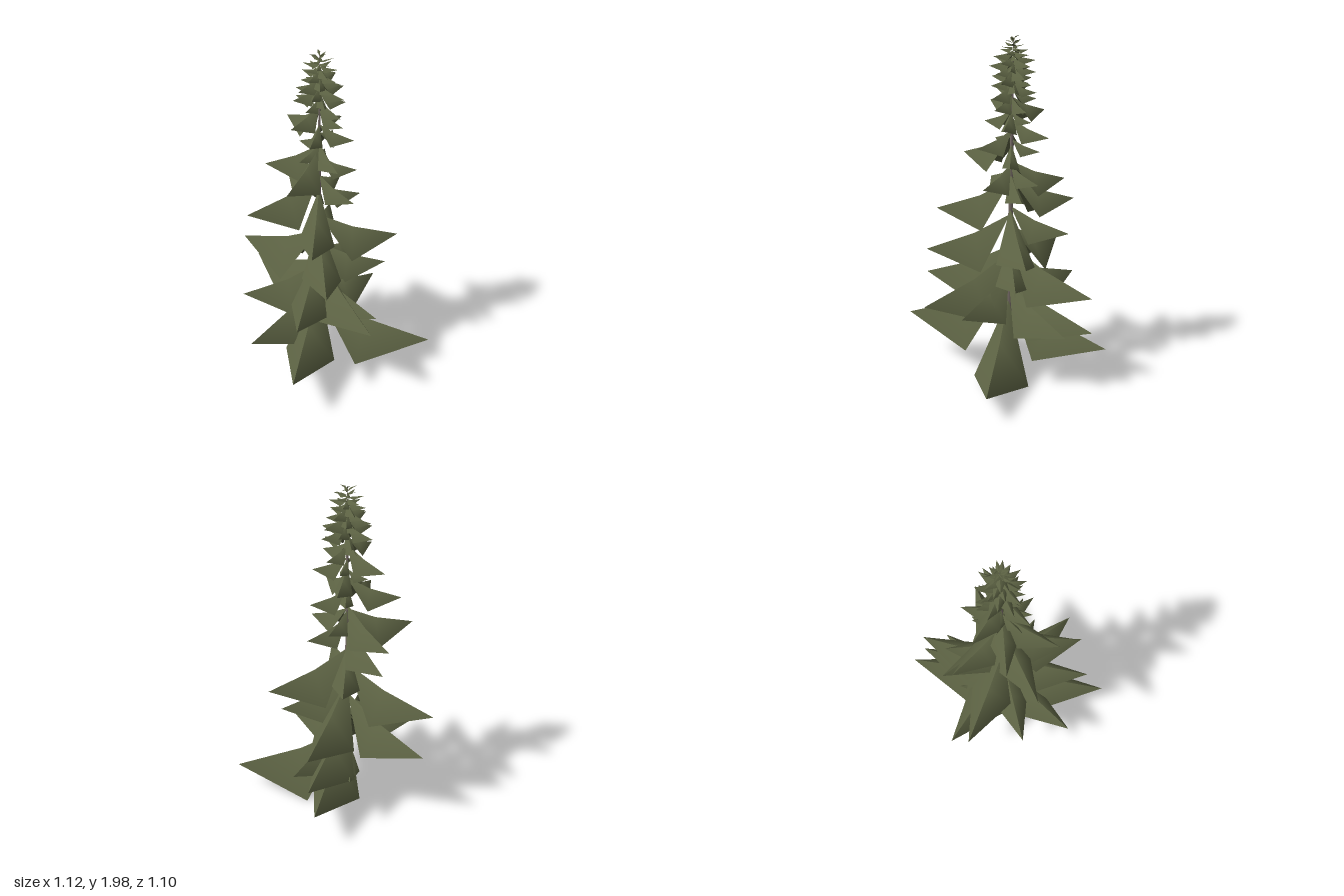
import * as THREE from 'three';

const needles = new THREE.MeshStandardMaterial({ color: 0x5c6243, side: THREE.DoubleSide });
needles.name = 'needleGreen';
const bark = new THREE.MeshStandardMaterial({ color: 0x7b6f6b });
bark.name = 'barkBrown';

// Trunk centre line leans very slightly
const trunkX = (y) => -0.024 + 0.014 * y;
const trunkZ = (y) => -0.008 * y;

// A folded, drooping bough along +z: two wings that meet along a sagging ridge
function boughGeometry(len, drop) {
  const ridge = [[0, 0, 0], [0, -drop * 0.54, 0.42], [0, -drop, 1]];
  const left = [0.235, -drop - 0.225, 0.36];
  const right = [-0.235, -drop - 0.16, 0.36];
  const pts = [...ridge, left, ...ridge, right].flat().map((v) => v * len);
  const g = new THREE.BufferGeometry();
  g.setAttribute('position', new THREE.Float32BufferAttribute(pts, 3));
  g.setIndex([0, 1, 3, 1, 2, 3, 4, 7, 5, 5, 7, 6]);
  g.computeVertexNormals();
  // Soften the ridge near the trunk; it stays creased at the tip
  for (const i of [0, 1]) {
    g.attributes.normal.setXYZ(i, 0.35, 0.937, 0);
    g.attributes.normal.setXYZ(i + 4, -0.35, 0.937, 0);
  }
  return g;
}

// Place a bough so that its tip lands on the given point
function bough(x, y, z, drop = 0.42) {
  const dx = x - trunkX(y), dz = z - trunkZ(y);
  const len = Math.hypot(dx, dz);
  const m = new THREE.Mesh(boughGeometry(len, drop), needles);
  m.position.set(trunkX(y), y + drop * len, trunkZ(y));
  m.rotation.y = Math.atan2(dx, dz);
  m.name = 'bough';
  return m;
}

// Tips of the large boughs: x, y, z
const lowTips = [
  [0.385, 0.16, 0.545], [0.2, 0.26, -0.19], [0.56, 0.25, -0.215], [-0.56, 0.285, 0.325],
  [-0.54, 0.35, -0.04], [0.46, 0.36, 0.02], [0.52, 0.36, -0.14], [0.035, 0.455, 0.41],
  [-0.365, 0.48, -0.295], [-0.012, 0.475, -0.55], [-0.15, 0.51, 0.53], [0.515, 0.57, -0.135],
  [-0.46, 0.565, 0.26], [0.295, 0.65, 0.245], [-0.135, 0.68, -0.53],
];
const midTips = [
  [-0.33, 0.77, 0.36], [0.385, 0.81, 0.255], [0.275, 0.88, -0.195], [-0.345, 0.995, 0.265],
  [0.148, 1.03, -0.37], [-0.385, 1.09, -0.2], [0.205, 1.11, 0.11], [0.08, 1.14, -0.36],
  [0.02, 1.17, 0.23], [0.19, 1.18, -0.03], [-0.33, 1.3, 0.065], [0.14, 1.3, 0.14],
  [-0.2, 1.33, -0.24], [0.13, 1.35, -0.1], [-0.07, 1.38, 0.19], [-0.15, 1.4, -0.02],
  [0.2, 1.44, -0.1],
];
const highTips = [
  [-0.05, 1.46, -0.12], [0.1, 1.5, 0.15], [-0.15, 1.51, 0.06], [0.11, 1.52, -0.05], [0, 1.55, -0.265],
  [0.14, 1.59, 0.02], [-0.2, 1.61, -0.03], [0.02, 1.6, 0.14], [0.07, 1.64, -0.13],
];

function addCrown(name, tips) {
  const g = new THREE.Group();
  g.name = name;
  for (const t of tips) g.add(bough(...t));
  return g;
}

export function createModel() {
  const tree = new THREE.Group();
  tree.name = 'conifer';

  // Trunk with a flared foot
  const profile = [[0, 0.025], [0.03, 0.025], [0.026, 0.08], [0.018, 0.18], [0.015, 0.8], [0.009, 1.4], [0.001, 1.97]];
  const trunkGeo = new THREE.LatheGeometry(profile.map(([r, y]) => new THREE.Vector2(r, y)), 8);
  const p = trunkGeo.attributes.position;
  for (let i = 0; i < p.count; i++) {
    const y = p.getY(i);
    p.setXYZ(i, p.getX(i) + trunkX(y), y, p.getZ(i) + trunkZ(y));
  }
  trunkGeo.computeVertexNormals();
  const trunk = new THREE.Mesh(trunkGeo, bark);
  trunk.name = 'trunk';
  tree.add(trunk);

  tree.add(addCrown('lowerBoughs', lowTips), addCrown('middleBoughs', midTips), addCrown('upperBoughs', highTips));

  // Spiral of small boughs that shorten and lift toward the top
  const top = new THREE.Group();
  top.name = 'topBoughs';
  const n = 44;
  for (let i = 0; i < n; i++) {
    const t = i / (n - 1);
    const y = 1.66 + 0.33 * Math.pow(t, 0.8);
    const len = (0.155 - 0.11 * t * t) * (0.87 + 0.13 * Math.cos(i * 1.7));
    const a = i * 2.4;
    const drop = 0.42 - 1.1 * t * t * t;
    top.add(bough(trunkX(y) + len * Math.sin(a), y, trunkZ(y) + len * Math.cos(a), drop));
  }
  tree.add(top);
  return tree;
}
